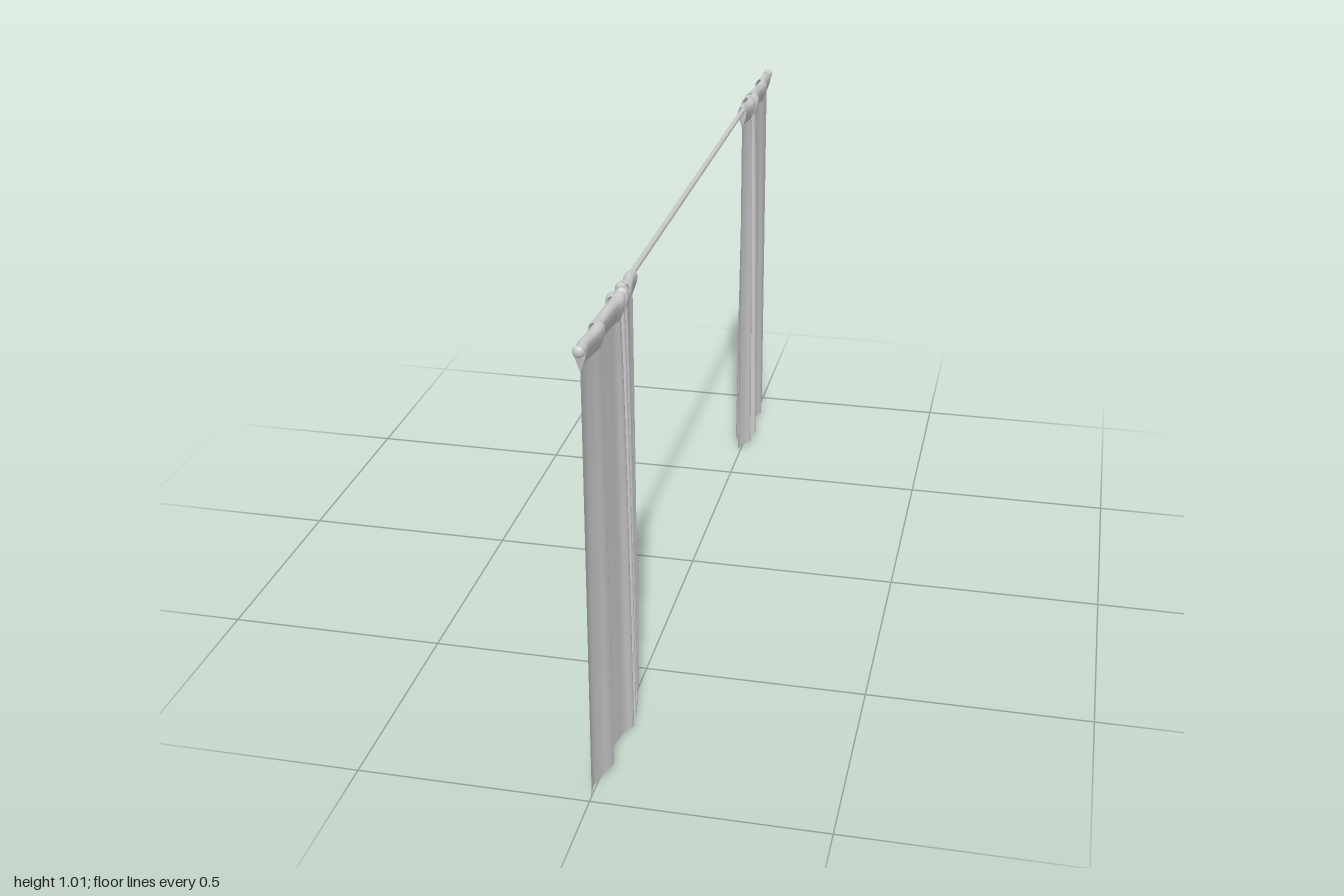
import * as THREE from 'three';
import { ParametricGeometry } from 'three/addons/geometries/ParametricGeometry.js';

const metal = new THREE.MeshStandardMaterial({ color: 0xcccccc });
const cloth = new THREE.MeshStandardMaterial({ color: 0xcccccc, side: THREE.DoubleSide });
const ROD_Y = 0.996;

// Horizontal cross-sections of the cloth at the hem: [z, x], doubling back at each pleat
const frontFolds = [
  [0.99, 0.002], [0.95, -0.005], [0.91, 0.003], [0.88, 0.014], [0.863, 0.016], [0.868, 0.004],
  [0.876, -0.008], [0.862, -0.013], [0.83, -0.004], [0.79, 0.004], [0.75, 0.012], [0.724, 0.025],
  [0.708, 0.018], [0.722, 0.004], [0.731, -0.014], [0.715, -0.026], [0.697, -0.016], [0.69, 0.006],
  [0.684, 0.02], [0.668, 0.014], [0.66, -0.006], [0.652, -0.018], [0.638, -0.012], [0.652, 0.004],
  [0.646, 0.014], [0.62, 0.004], [0.6, -0.003], [0.577, 0.001],
];
const backFolds = [
  [-0.605, 0], [-0.635, -0.004], [-0.665, 0.006], [-0.69, 0.02], [-0.702, 0.013], [-0.692, -0.002],
  [-0.688, -0.016], [-0.706, -0.025], [-0.724, -0.014], [-0.728, 0.006], [-0.738, 0.024],
  [-0.756, 0.018], [-0.744, 0.002], [-0.738, -0.016], [-0.752, -0.024], [-0.775, -0.012],
  [-0.81, 0], [-0.85, 0.006], [-0.88, 0.016], [-0.895, 0.01], [-0.885, -0.002], [-0.88, -0.012],
  [-0.9, -0.014], [-0.93, -0.003], [-0.978, 0.001],
];

function makeCurtain(name, folds, hemY, topY) {
  const group = new THREE.Group();
  group.name = name;
  const curve = new THREE.CatmullRomCurve3(folds.map(([z, x]) => new THREE.Vector3(x, 0, z)), false, 'centripetal');
  const zMid = (folds[0][0] + folds[folds.length - 1][0]) / 2;
  const bandY = 0.952;

  // Pleats are shallow at the rod and open out towards the hem
  const place = (u, y, offset, target) => {
    curve.getPoint(u, target);
    const drop = THREE.MathUtils.clamp(1 - y / topY, 0, 1);
    const depth = 0.22 + 0.78 * Math.pow(drop, 0.45);
    const z = zMid + (target.z - zMid) * (0.975 + 0.025 * drop);
    target.set(target.x * depth + offset, y, z);
  };

  // Hanging panel below the stitched band
  const panel = new THREE.Mesh(new ParametricGeometry((u, v, t) => {
    place(u, hemY + (bandY - hemY) * v, 0, t);
  }, 200, 28), cloth);
  panel.name = 'hangingPanel';

  // Sleeve looping over the rod, closed at the stitch line
  const loop = new THREE.CatmullRomCurve3([
    [0, bandY], [0.006, 0.968], [0.0105, 0.985], [0.0095, 0.998], [0, topY],
    [-0.0095, 0.998], [-0.0105, 0.985], [-0.006, 0.968], [0, bandY],
  ].map(([x, y]) => new THREE.Vector3(x, y, 0)));
  const p = new THREE.Vector3();
  const sleeve = new THREE.Mesh(new ParametricGeometry((u, v, t) => {
    loop.getPoint(v, p);
    place(u, p.y, p.x, t);
    // Small puckers where the pleats gather
    t.y += 0.0015 * Math.sin(u * 60) * THREE.MathUtils.smoothstep(p.y, 0.985, topY);
  }, 200, 24), cloth);
  sleeve.name = 'rodSleeve';

  group.add(panel, sleeve);
  return group;
}

export function createModel() {
  const model = new THREE.Group();
  model.name = 'curtainsOnRod';

  const rod = new THREE.Mesh(new THREE.CylinderGeometry(0.006, 0.006, 1.97, 20), metal);
  rod.name = 'rod';
  rod.rotation.x = Math.PI / 2;
  rod.position.y = ROD_Y;
  model.add(rod);

  // Turned end caps, mirrored on both ends
  const profile = [[0, -0.01], [0.007, -0.01], [0.008, -0.006], [0.011, -0.003], [0.012, 0.002], [0.01, 0.007], [0.005, 0.0095], [0, 0.01]]
    .map(([r, y]) => new THREE.Vector2(r, y));
  for (const side of [1, -1]) {
    const cap = new THREE.Mesh(new THREE.LatheGeometry(profile, 20), metal);
    cap.name = side > 0 ? 'frontRodCap' : 'backRodCap';
    cap.rotation.x = side * Math.PI / 2;
    cap.position.set(0, ROD_Y, side * 0.99);
    model.add(cap);
  }

  model.add(makeCurtain('frontCurtain', frontFolds, 0.002, 1.004));
  model.add(makeCurtain('backCurtain', backFolds, 0.01, 1.008));
  return model;
}
